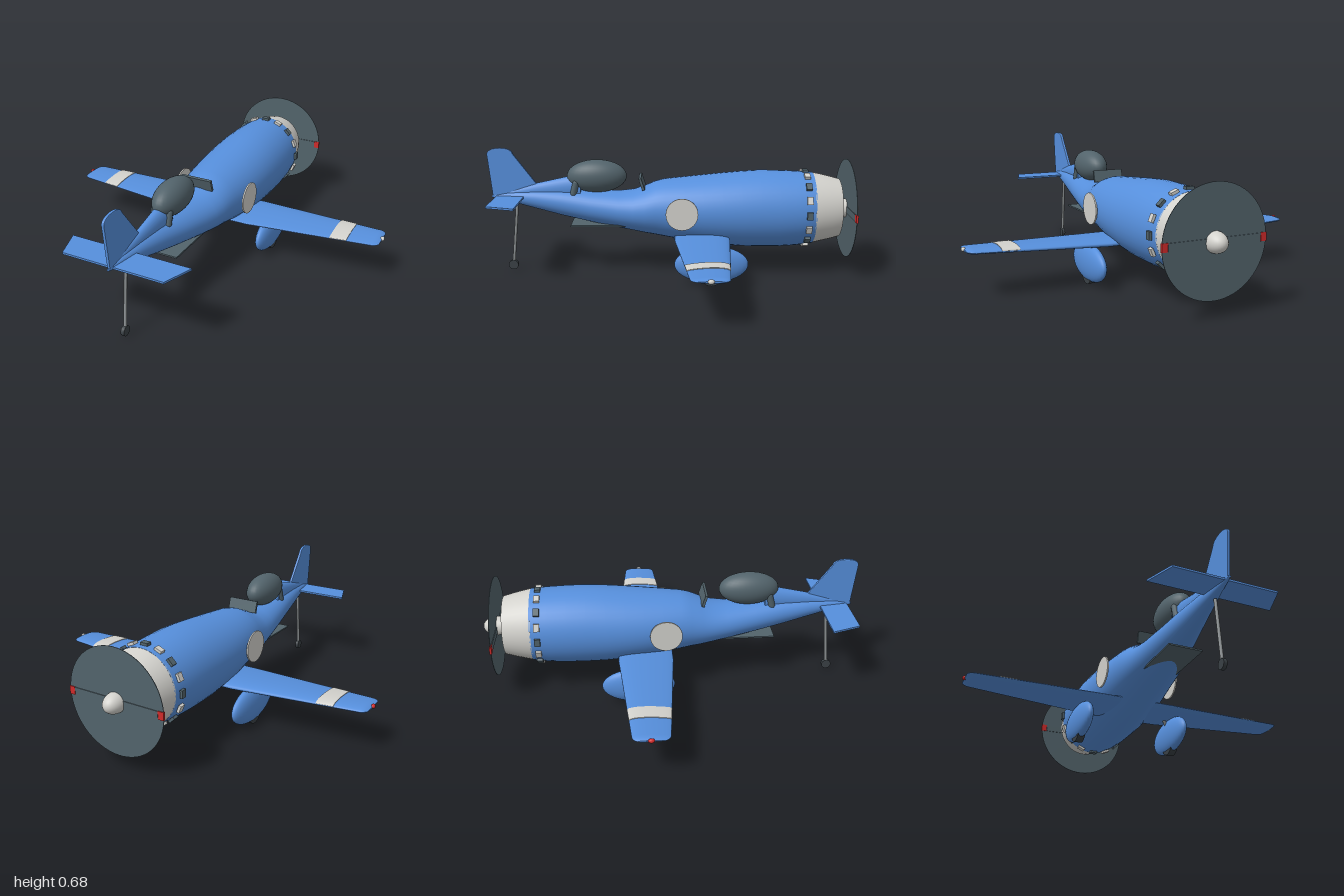
import * as THREE from 'three';

const mat = (name, color) => Object.assign(new THREE.MeshStandardMaterial({ color }), { name });
const V = (x, y, z) => new THREE.Vector3(x, y, z);
const lerp = THREE.MathUtils.lerp;

// Skin a list of closed rings; end caps get their own vertices so they stay sharp.
function loft(rings) {
  const n = rings[0].length, pos = [], idx = [];
  rings.forEach(r => r.forEach(p => pos.push(p.x, p.y, p.z)));
  for (let i = 0; i < rings.length - 1; i++) for (let j = 0; j < n; j++) {
    const a = i * n + j, b = i * n + (j + 1) % n;
    idx.push(a, b, a + n, b, b + n, a + n);
  }
  [rings[0], rings[rings.length - 1]].forEach((r, end) => {
    const base = pos.length / 3;
    const c = r.reduce((s, p) => s.add(p), V(0, 0, 0)).divideScalar(n);
    [...r, c].forEach(p => pos.push(p.x, p.y, p.z));
    for (let j = 0; j < n; j++) {
      const a = base + j, b = base + (j + 1) % n;
      idx.push(base + n, ...(end ? [a, b] : [b, a]));
    }
  });
  const g = new THREE.BufferGeometry();
  g.setAttribute('position', new THREE.Float32BufferAttribute(pos, 3));
  g.setIndex(idx);
  g.computeVertexNormals();
  return g;
}

// Elliptical body along z from [z, top, bottom, halfWidth] sections.
function body(sections, seg = 40) {
  return loft(sections.map(([z, top, bot, w]) => Array.from({ length: seg }, (_, j) => {
    const a = j / seg * Math.PI * 2;
    return V(w * Math.cos(a), (top + bot) / 2 + (top - bot) / 2 * Math.sin(a), z);
  })));
}

// Wing cross-section at x; lift raises the top skin, flatBottom drops the lower skin.
function wingRing(x, lift = 0, flatBottom = false) {
  const ax = Math.abs(x), t = (ax - 0.2) / 0.68;
  const tip = THREE.MathUtils.clamp((ax - 0.87) / 0.035, 0, 1), shrink = Math.sqrt(1 - 0.9 * tip * tip);
  const lead = lerp(-0.288, -0.235, t), trail = lerp(0, -0.058, t);
  const mid = (lead + trail) / 2, half = (trail - lead) / 2 * lerp(1, shrink, 0.4);
  const y = lerp(0.215, 0.234, t), h = lerp(0.022, 0.013, t) * shrink;
  return Array.from({ length: 32 }, (_, j) => {
    const a = j / 32 * Math.PI * 2, s = Math.sin(a), c = Math.cos(a);
    const k = flatBottom && c < 0 ? 0 : 1;
    return V(x, y + k * h * c * (1 - 0.3 * s) + (c > -0.01 ? lift : 0), mid + half * s);
  });
}

function rod(a, b, r) {
  const d = b.clone().sub(a), g = new THREE.CylinderGeometry(r, r, d.length(), 12);
  g.applyQuaternion(new THREE.Quaternion().setFromUnitVectors(V(0, 1, 0), d.normalize()));
  const m = a.clone().add(b).multiplyScalar(0.5);
  return g.translate(m.x, m.y, m.z);
}

const ellipsoid = (a, b, c) => new THREE.SphereGeometry(1, 32, 20).scale(a, b, c);

export function createModel() {
  const blue = mat('blue paint', 0x568fdc), slate = mat('slate', 0x52636b), light = mat('light grey', 0xd3d2cd);
  const red = mat('red', 0xd02a2a), metal = mat('strut metal', 0x8b9092), rubber = mat('rubber', 0x3a4146);
  const root = new THREE.Group();
  root.name = 'airplane';
  const add = (name, geo, material, x = 0, y = 0, z = 0) => {
    const m = new THREE.Mesh(geo, material);
    m.name = name;
    m.position.set(x, y, z);
    root.add(m);
    return m;
  };

  // Fuselage and engine cowl
  add('fuselage', body([
    [-0.74, 0.541, 0.155, 0.188], [-0.65, 0.547, 0.143, 0.199], [-0.55, 0.551, 0.138, 0.204],
    [-0.45, 0.552, 0.138, 0.206], [-0.35, 0.546, 0.141, 0.206], [-0.25, 0.537, 0.15, 0.203],
    [-0.15, 0.527, 0.162, 0.196], [-0.05, 0.517, 0.177, 0.184], [0.05, 0.507, 0.195, 0.169],
    [0.1, 0.495, 0.205, 0.161], [0.16, 0.469, 0.216, 0.151], [0.22, 0.45, 0.229, 0.14],
    [0.3, 0.442, 0.245, 0.125], [0.45, 0.445, 0.276, 0.098], [0.6, 0.452, 0.31, 0.071],
    [0.75, 0.448, 0.35, 0.045], [0.88, 0.436, 0.385, 0.023], [0.98, 0.42, 0.408, 0.006]]), blue);
  add('engineCowl', body([[-0.885, 0.505, 0.19, 0.15], [-0.83, 0.52, 0.176, 0.167],
    [-0.78, 0.532, 0.165, 0.179], [-0.735, 0.541, 0.155, 0.189]]), light);

  // Ring of alternating cowl flaps
  for (let i = 0; i < 16; i++) {
    const a = i * Math.PI / 8;
    add('cowlFlap', new THREE.BoxGeometry(0.04, 0.014, 0.03), i % 2 ? light : slate,
      0.203 * Math.sin(a), 0.347 + 0.203 * Math.cos(a), -0.7).rotation.z = -a;
  }

  // Propeller
  const cy = 0.345, pz = -0.928;
  add('propellerDisc', new THREE.CylinderGeometry(0.265, 0.265, 0.003, 64).rotateX(Math.PI / 2), slate, 0, cy, pz);
  add('propellerBlade', new THREE.BoxGeometry(0.47, 0.036, 0.01), slate, 0, cy, pz);
  for (const s of [-1, 1])
    add('bladeTip', new THREE.BoxGeometry(0.03, 0.04, 0.011), red, s * 0.251, cy, pz);
  add('spinnerNose', ellipsoid(0.05, 0.05, 0.072), light, 0, cy, pz);
  add('spinnerBase', new THREE.CylinderGeometry(0.05, 0.05, 0.045, 32).rotateX(Math.PI / 2), light, 0, cy, -0.906);

  // Wing, one skin from tip to tip
  const xs = [0.2, 0.5, 0.87, 0.88, 0.89, 0.9, 0.905];
  add('wing', loft([...xs.slice().reverse().map(x => -x), ...xs].map(x => wingRing(x))), blue);
  for (const s of [-1, 1]) {
    add('wingStripe', loft([s * 0.7 - 0.044, s * 0.7 + 0.044].map(x => wingRing(x, 0.003, true))), light);
    add('wingTipLight', ellipsoid(0.011, 0.011, 0.015), s < 0 ? red : light, s * 0.905, 0.237, -0.148);
    add('sideRoundel', new THREE.CylinderGeometry(0.084, 0.084, 0.008, 40).rotateZ(Math.PI / 2), light, s * 0.2, 0.357, -0.037);

    // Main landing gear
    add('wheelFairing', ellipsoid(0.043, 0.097, 0.19), blue, s * 0.27, 0.112, -0.187);
    add('mainWheel', new THREE.CylinderGeometry(0.055, 0.055, 0.04, 32).rotateZ(Math.PI / 2), rubber, s * 0.27, 0.055, -0.187);
    add('gearStrut', rod(V(s * 0.215, 0.22, -0.17), V(s * 0.26, 0.14, -0.187), 0.009), metal);

    // Leaning posts behind the canopy
    add('canopyPost', new THREE.CapsuleGeometry(0.018, 0.06, 6, 12), slate, s * 0.04, 0.465, 0.53).rotation.x = -0.25;
  }

  // Canopy, windscreen and belly plate
  add('canopy', ellipsoid(0.078, 0.088, 0.16), slate, 0, 0.524, 0.415);
  add('windscreen', new THREE.BoxGeometry(0.17, 0.065, 0.014), slate, 0, 0.492, 0.173).rotation.x = 0.3;
  add('bellyPlate', new THREE.BoxGeometry(0.18, 0.008, 0.3), slate, 0, 0.269, 0.402);

  // Spine fairing and tail fin
  add('spineFairing', body([[0.5, 0.53, 0.38, 0.045], [0.56, 0.524, 0.39, 0.04], [0.745, 0.484, 0.4, 0.024],
    [0.93, 0.43, 0.405, 0.006]], 24), blue);
  const fin = new THREE.Shape();
  fin.moveTo(0.97, 0.412);
  fin.lineTo(0.992, 0.64);
  fin.bezierCurveTo(0.995, 0.682, 0.865, 0.682, 0.862, 0.642);
  fin.lineTo(0.74, 0.478);
  fin.lineTo(0.8, 0.41);
  add('tailFin', new THREE.ExtrudeGeometry(fin, { depth: 0.008, bevelThickness: 0.004, bevelSize: 0.004, bevelSegments: 2, curveSegments: 20 })
    .rotateY(-Math.PI / 2), blue, 0.004);

  // Horizontal stabilizer
  const plan = new THREE.Shape([[-0.318, 0.805], [0.318, 0.805], [0.265, 0.955], [-0.265, 0.955]]
    .map(p => new THREE.Vector2(...p)));
  add('stabilizer', new THREE.ExtrudeGeometry(plan, { depth: 0.01, bevelEnabled: false }).rotateX(Math.PI / 2), blue, 0, 0.418);

  // Tail wheel
  add('tailStrut', rod(V(0, 0.37, 0.847), V(0, 0.03, 0.882), 0.008), metal);
  add('tailWheel', new THREE.CylinderGeometry(0.026, 0.026, 0.018, 24).rotateZ(Math.PI / 2), rubber, 0, 0.03, 0.882);
  return root;
}
